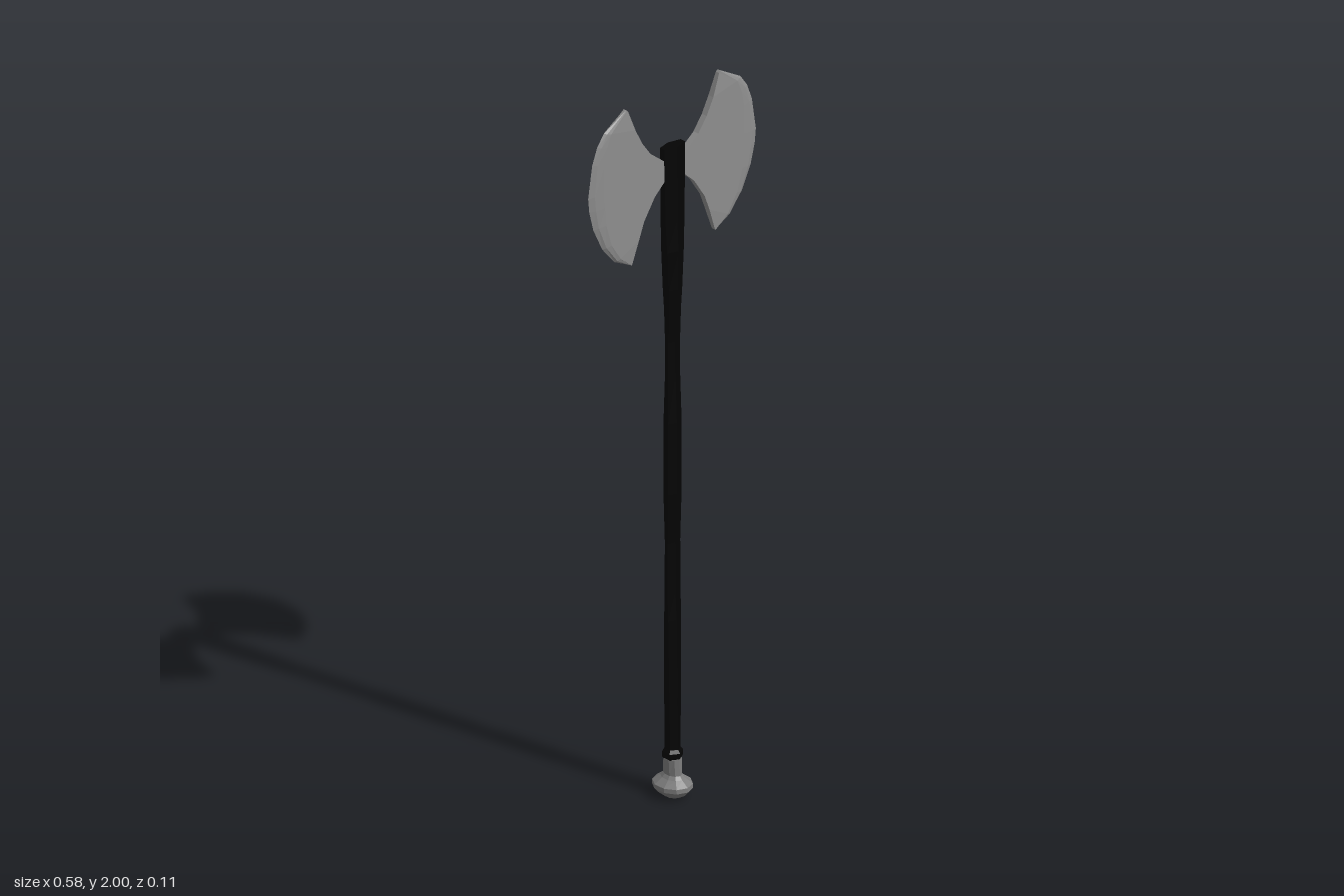
import * as THREE from 'three';

const faceted = (color) => new THREE.MeshStandardMaterial({ color, flatShading: true, side: THREE.DoubleSide });
const steel = faceted(0x8e8e8e);
const darkSteel = faceted(0x7c7c7c);
const grip = faceted(0x040404);

function mesh(name, geometry, material) {
  const m = new THREE.Mesh(geometry, material);
  m.name = name;
  return m;
}

// Loft of closed cross-sections (each a list of [x, y, z]), with fan caps at both ends
function loft(sections) {
  const n = sections[0].length;
  const pos = sections.flat(2);
  const idx = [];
  for (let i = 0; i < sections.length - 1; i++) {
    for (let j = 0; j < n; j++) {
      const a = i * n + j, b = i * n + (j + 1) % n;
      idx.push(a, b, b + n, a, b + n, a + n);
    }
  }
  const last = (sections.length - 1) * n;
  for (let j = 1; j < n - 1; j++) {
    idx.push(0, j + 1, j, last, last + j, last + j + 1);
  }
  const g = new THREE.BufferGeometry();
  g.setAttribute('position', new THREE.Float32BufferAttribute(pos, 3));
  g.setIndex(idx);
  const flat = g.toNonIndexed();
  flat.computeVertexNormals();
  return flat;
}

// Faceted upright body from rows of [y, half width, half depth]
function turned(rows, sides) {
  const widest = Math.max(...Array.from({ length: sides }, (_, i) => Math.sin(i / sides * Math.PI * 2)));
  return loft(rows.map(([y, hx, hz]) => Array.from({ length: sides }, (_, i) => {
    const a = i / sides * Math.PI * 2;
    return [Math.sin(a) * hx / widest, y, Math.cos(a) * hz];
  })));
}

// Blade on the +x side: matching points up the concave inner and curved outer edge
function bladeGeometry() {
  const inner = [[0.143, 1.557], [0.122, 1.62], [0.105, 1.665], [0.068, 1.722], [0.03, 1.757],
    [0.03, 1.808], [0.083, 1.85], [0.112, 1.89], [0.135, 1.935], [0.158, 1.995]];
  const outer = [[0.146, 1.553], [0.2, 1.58], [0.242, 1.63], [0.273, 1.695], [0.287, 1.75],
    [0.291, 1.79], [0.277, 1.88], [0.26, 1.925], [0.237, 1.957], [0.163, 2.0]];
  // Rounded bevel: [share of the way outward, share of the thickness]
  const front = [[0, 1], [0.82, 1], [0.93, 0.65]];
  const profile = [...front, [1, 0], ...front.map(([u, t]) => [u, -t]).reverse()].reverse();
  const centreZ = -0.002;
  return loft(inner.map(([ix, iy], i) => {
    const [ox, oy] = outer[i];
    const half = i === 0 || i === inner.length - 1 ? 0.006 : 0.009;
    return profile.map(([u, t]) => [ix + (ox - ix) * u, iy + (oy - iy) * u, centreZ + half * t]);
  }));
}

export function createModel() {
  const model = new THREE.Group();
  model.name = 'doubleAxe';

  // Six-sided shaft, swelling and thinning along its length
  model.add(mesh('shaft', turned([
    [0.13, 0.018, 0.021], [0.28, 0.02, 0.019], [0.5, 0.022, 0.015], [0.58, 0.023, 0.011],
    [0.72, 0.022, 0.01], [0.86, 0.024, 0.016], [1.06, 0.024, 0.016], [1.2, 0.021, 0.011],
    [1.29, 0.021, 0.011], [1.38, 0.021, 0.018], [1.44, 0.024, 0.021], [1.55, 0.029, 0.022],
    [1.64, 0.033, 0.018], [1.845, 0.036, 0.017],
  ], 6), grip));

  // Collar between shaft and pommel
  model.add(mesh('collar', turned([
    [0.105, 0.019, 0.022], [0.112, 0.024, 0.028], [0.125, 0.024, 0.028], [0.134, 0.018, 0.021],
  ], 6), grip));

  // Faceted pommel with its neck
  model.add(mesh('pommel', turned([
    [0, 0.02, 0.026], [0.012, 0.034, 0.045], [0.026, 0.046, 0.057], [0.038, 0.046, 0.056],
    [0.053, 0.026, 0.036], [0.062, 0.019, 0.028], [0.108, 0.021, 0.025],
  ], 10), darkSteel));

  // Mirrored pair of blades
  for (const side of [1, -1]) {
    const blade = mesh(side > 0 ? 'leftBlade' : 'rightBlade', bladeGeometry(), steel);
    blade.scale.x = side;
    model.add(blade);
  }
  return model;
}
